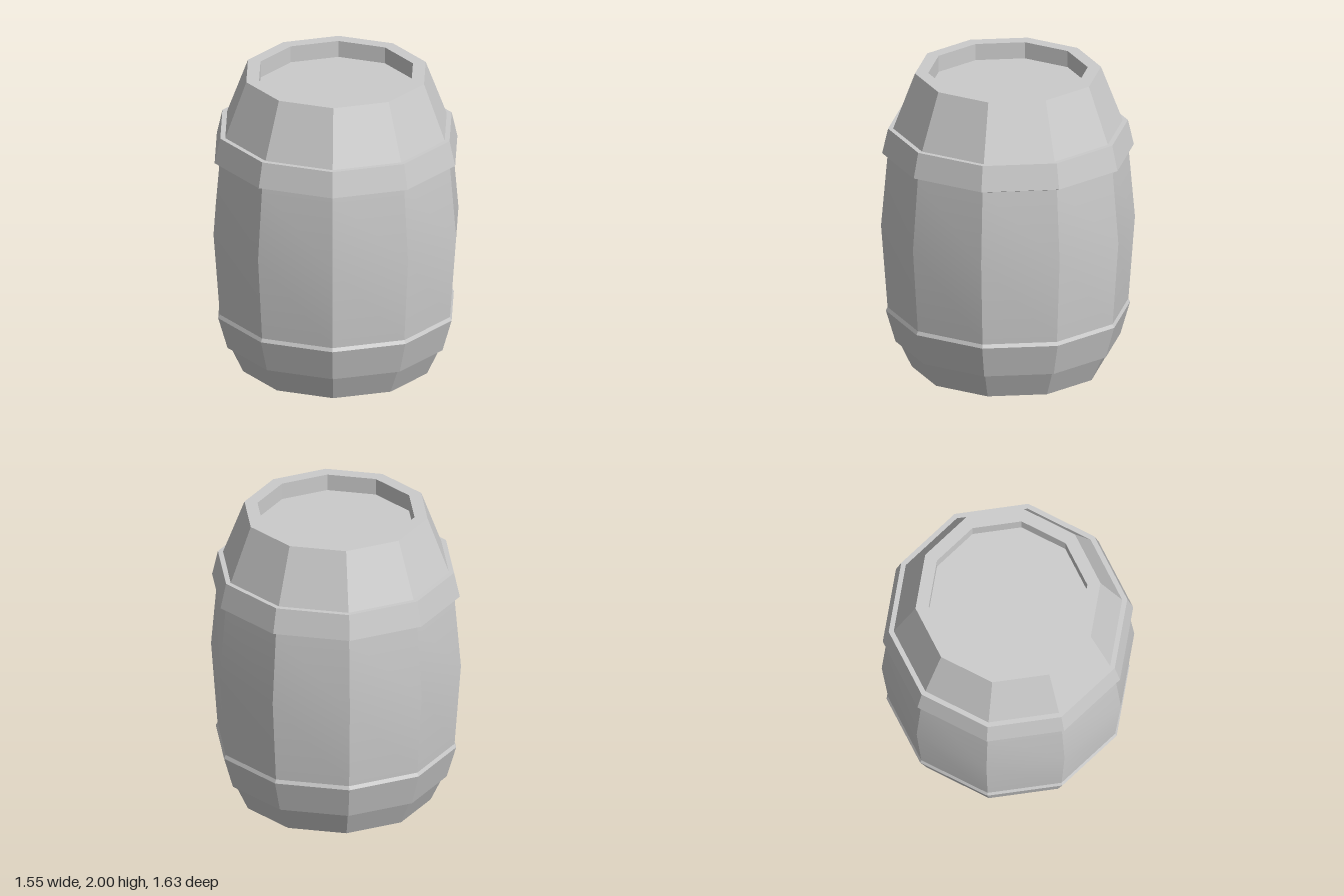
import * as THREE from 'three';
import { toCreasedNormals } from 'three/addons/utils/BufferGeometryUtils.js';

const SIDES = 10;
const CREASE = THREE.MathUtils.degToRad(18); // smooth the belly, keep stave edges sharp

export function createModel() {
  const group = new THREE.Group();
  group.name = 'barrel';
  const material = new THREE.MeshStandardMaterial({ color: 0xcccccc });

  // Ten-sided ring swept from [radius, height] points, listed bottom to top on the outside
  const addRing = (name, profile) => {
    const points = profile.map(([r, y]) => new THREE.Vector2(r, y));
    const geometry = new THREE.LatheGeometry(points, SIDES);
    const mesh = new THREE.Mesh(toCreasedNormals(geometry, CREASE), material);
    mesh.name = name;
    group.add(mesh);
  };

  // Base with its closed bottom
  addRing('lowerStaves', [[0, 0], [0.617, 0], [0.7, 0.175]]);

  // Bulging belly between the hoops
  addRing('middleStaves', [[0.773, 0.412], [0.815, 0.97], [0.773, 1.45]]);

  // Tapered shoulder, rim and recessed lid
  addRing('upperStaves', [[0.737, 1.63], [0.597, 2], [0.512, 2], [0.512, 1.89], [0, 1.89]]);

  // Raised hoops with their ledges
  addRing('lowerHoop', [[0.7, 0.175], [0.722, 0.175], [0.784, 0.388], [0.773, 0.412]]);
  addRing('upperHoop', [[0.773, 1.45], [0.808, 1.464], [0.77, 1.63], [0.737, 1.63]]);

  return group;
}
